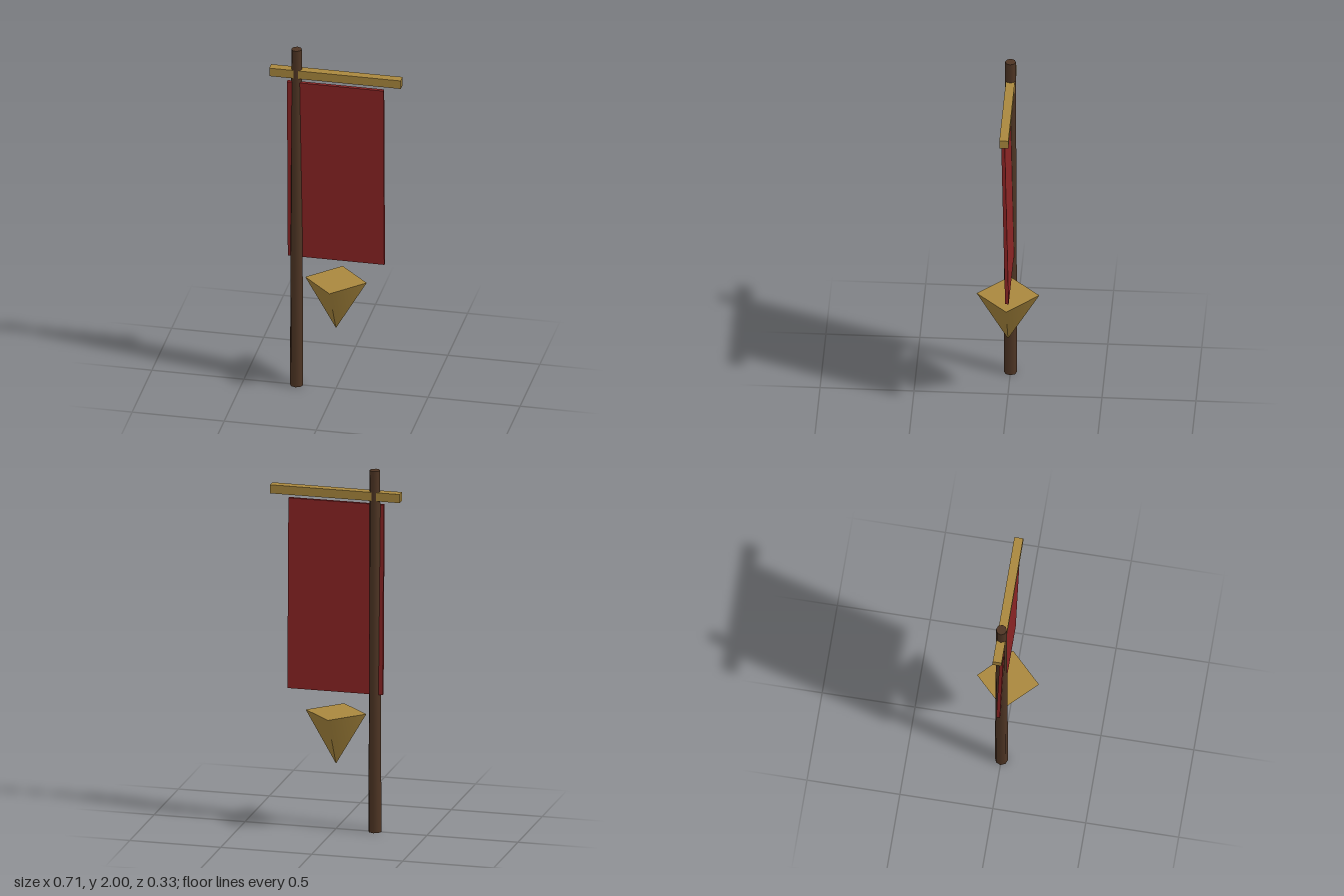
import * as THREE from 'three';

function material(name, color) {
  const m = new THREE.MeshStandardMaterial({ color });
  m.name = name;
  return m;
}

export function createModel() {
  const group = new THREE.Group();
  group.name = 'banner';
  const wood = material('dark wood', 0x4e3524);
  const brass = material('brass', 0xaa883e);
  const cloth = material('red cloth', 0x8b2424);

  const add = (name, geometry, mat, x, y) => {
    const mesh = new THREE.Mesh(geometry, mat);
    mesh.name = name;
    mesh.position.set(x, y, 0);
    group.add(mesh);
    return mesh;
  };

  // Tapered eight-sided pole
  add('pole', new THREE.CylinderGeometry(0.0286, 0.0357, 2, 8), wood, -0.214, 1);

  // Square crossbar near the top
  add('crossbar', new THREE.BoxGeometry(0.714, 0.0476, 0.0476), brass, 0, 1.859);

  // Hanging cloth, leaning slightly forward at the top
  const flag = add('cloth', new THREE.BoxGeometry(0.524, 1.047, 0.019), cloth, 0, 1.287);
  flag.rotation.x = 0.02;

  // Four-sided point below the cloth
  const point = add('pendant', new THREE.ConeGeometry(0.1667, 0.286, 4), brass, 0, 0.503);
  point.rotation.x = Math.PI;

  return group;
}
